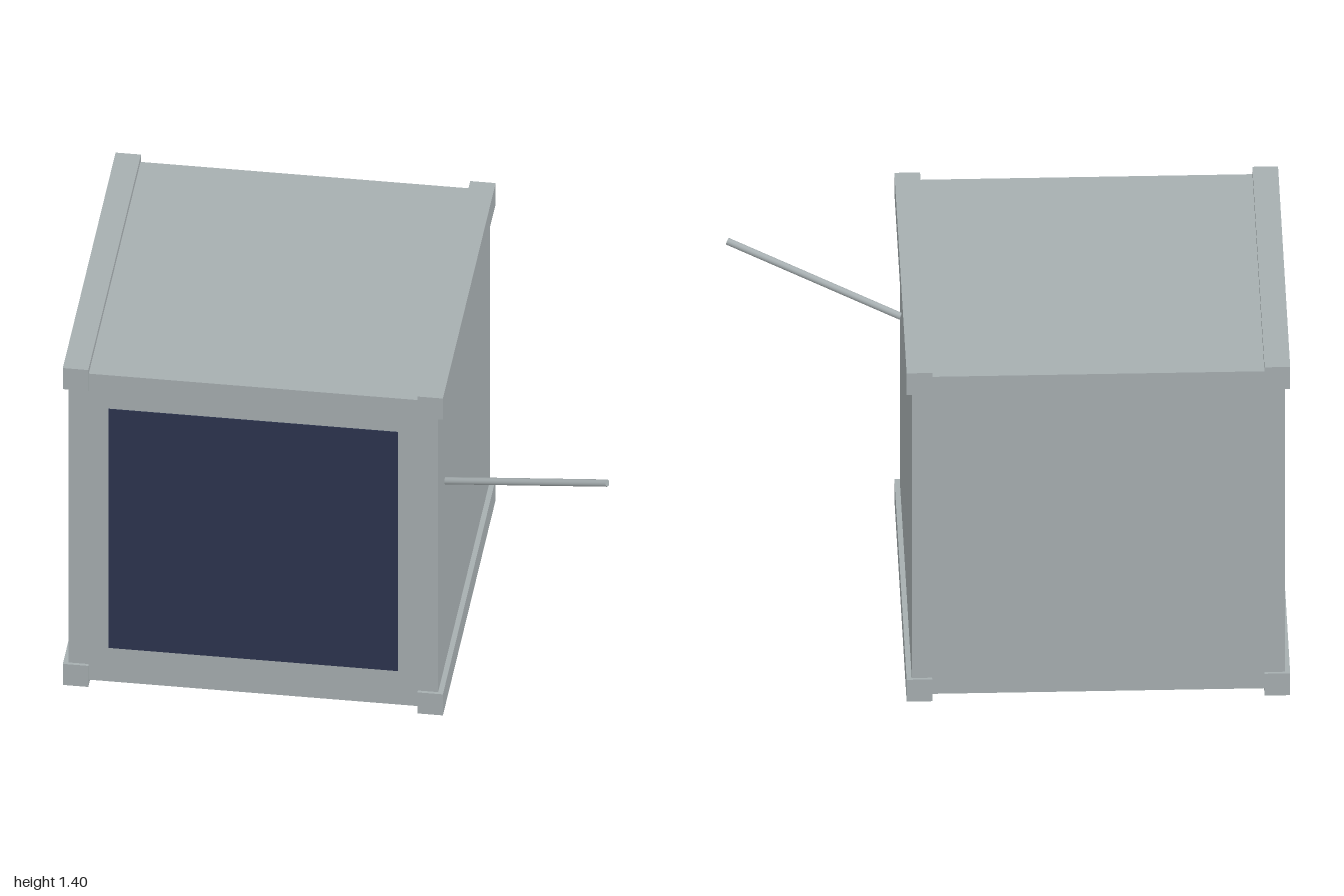
import * as THREE from 'three';

export function createModel() {
  const model = new THREE.Group();
  const metal = new THREE.MeshStandardMaterial({ color: 0xa6aeb0 });
  metal.name = 'grey metal';
  const glass = new THREE.MeshStandardMaterial({ color: 0x2c344e });
  glass.name = 'dark blue glass';

  const cx = -0.305, cy = 0.7, cz = -0.02;
  const size = 1.352;

  const add = (name, geometry, material, x, y, z) => {
    const mesh = new THREE.Mesh(geometry, material);
    mesh.name = name;
    mesh.position.set(x, y, z);
    model.add(mesh);
    return mesh;
  };

  // Cube body and its front panel
  add('body', new THREE.BoxGeometry(size, size, size), metal, cx, cy, cz);
  add('frontPanel', new THREE.BoxGeometry(1.06, 1.055, 0.004), glass, cx, cy + 0.001, cz + size / 2 + 0.001);

  // Square rails along the four front-to-back edges
  const railGeometry = new THREE.BoxGeometry(0.093, 0.093, 1.376);
  for (const sx of [-1, 1]) {
    for (const sy of [-1, 1]) {
      const name = (sy > 0 ? 'upper' : 'lower') + (sx > 0 ? 'Left' : 'Right') + 'Rail';
      add(name, railGeometry, metal, cx + sx * 0.6485, cy + sy * 0.6535, cz);
    }
  }

  // Thin rod antenna slanting out of the side
  const start = new THREE.Vector3(0.373, 0.905, 0.479);
  const end = new THREE.Vector3(0.995, 1.104, 0.695);
  const along = end.clone().sub(start);
  const middle = start.clone().add(end).multiplyScalar(0.5);
  const rod = add('antenna', new THREE.CylinderGeometry(0.0135, 0.0135, along.length(), 12), metal, middle.x, middle.y, middle.z);
  rod.quaternion.setFromUnitVectors(new THREE.Vector3(0, 1, 0), along.normalize());

  return model;
}
